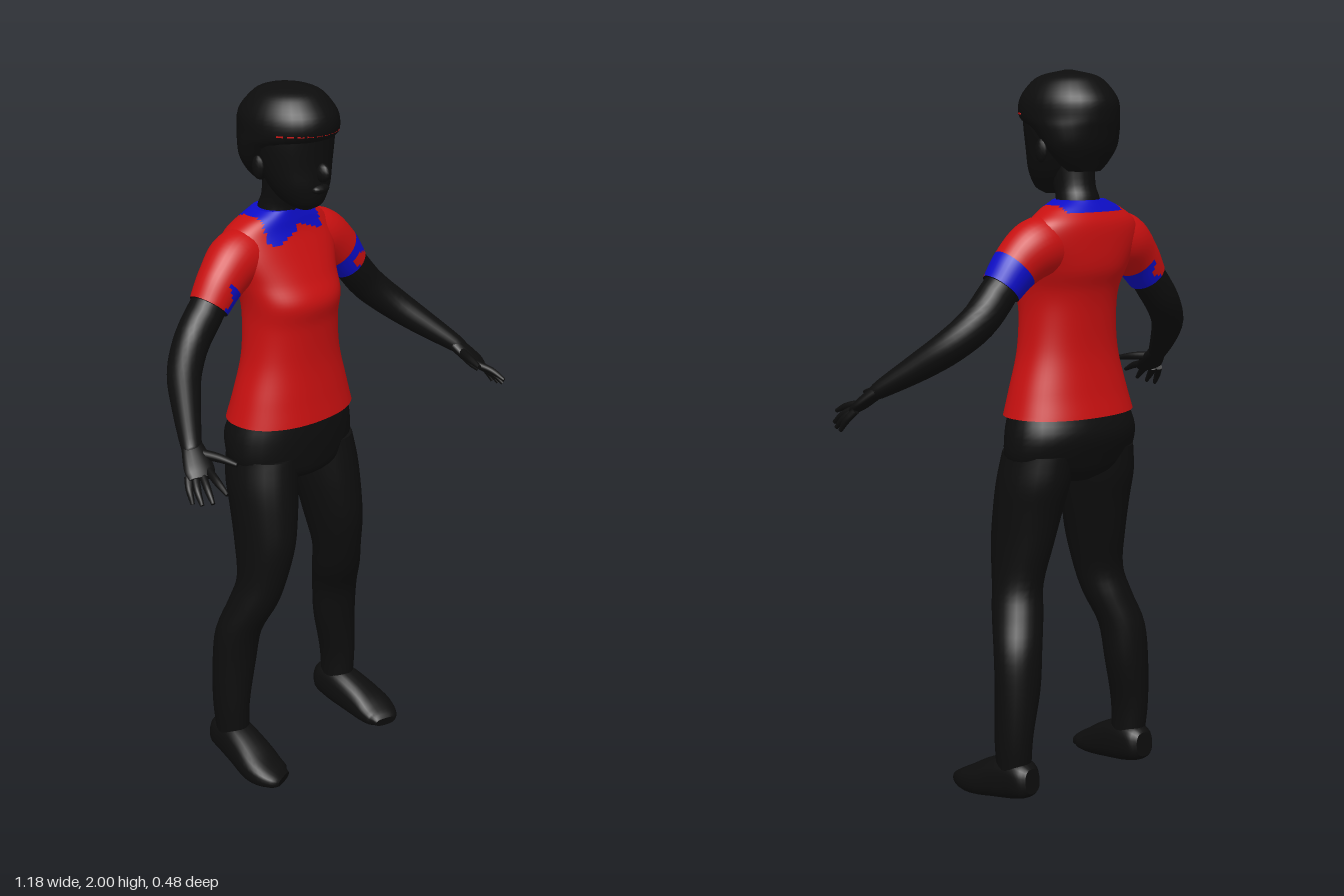
import * as THREE from 'three';

const mat = (name, color) => {
  const m = new THREE.MeshStandardMaterial({ color });
  m.name = name;
  return m;
};

// Closed smooth skin through sections [x, y, z, radiusU, radiusV].
// level: rings stay horizontal (listed upward); otherwise they follow the path.
// pick(centre, t) chooses the material index of each face.
function loft(sections, { level = false, seg = 24, steps = 4, power = 2, pick = () => 0 } = {}) {
  const path = new THREE.CatmullRomCurve3(sections.map(s => new THREE.Vector3(s[0], s[1], s[2])), false, 'catmullrom');
  const radii = new THREE.CatmullRomCurve3(sections.map(s => new THREE.Vector3(s[3], s[4], 0)), false, 'catmullrom');
  const rows = (sections.length - 1) * steps;
  const up = new THREE.Vector3(0, 1, 0);
  const points = [];
  const squash = v => Math.sign(v) * Math.abs(v) ** (2 / power);
  for (let i = 0; i <= rows; i++) {
    const c = path.getPoint(i / rows), r = radii.getPoint(i / rows);
    const u = new THREE.Vector3(1, 0, 0), v = new THREE.Vector3(0, 0, -1);
    if (!level) {
      const t = path.getTangent(i / rows);
      u.crossVectors(up, t).normalize();
      v.crossVectors(t, u);
    }
    for (let j = 0; j < seg; j++) {
      const a = j / seg * Math.PI * 2;
      points.push(c.clone().addScaledVector(u, r.x * squash(Math.cos(a))).addScaledVector(v, r.y * squash(Math.sin(a))));
    }
  }
  const faces = [[], [], []];
  for (let i = 0; i < rows; i++) for (let j = 0; j < seg; j++) {
    const k = (j + 1) % seg;
    const a = i * seg + j, b = i * seg + k, c = b + seg, d = a + seg;
    const mid = points[a].clone().add(points[c]).multiplyScalar(0.5);
    faces[pick(mid, (i + 0.5) / rows)].push(a, b, c, a, c, d);
  }
  // End caps with their own vertices, so the rim stays crisp
  for (const end of [0, rows]) {
    const base = points.length;
    for (let j = 0; j < seg; j++) points.push(points[end * seg + j].clone());
    points.push(path.getPoint(end / rows));
    const idx = pick(points[base + seg], end / rows);
    for (let j = 0; j < seg; j++) {
      const a = base + j, b = base + (j + 1) % seg;
      faces[idx].push(base + seg, ...(end ? [a, b] : [b, a]));
    }
  }
  const g = new THREE.BufferGeometry().setFromPoints(points);
  g.setIndex(faces.flat());
  let start = 0;
  faces.forEach((f, n) => { if (f.length) g.addGroup(start, f.length, n); start += f.length; });
  g.computeVertexNormals();
  return g;
}

export function createModel() {
  const model = new THREE.Group();
  const black = mat('black', 0x0d0d0d);
  const red = mat('shirtRed', 0xc81010);
  const blue = mat('trimBlue', 0x0d0dc8);
  const add = (name, geometry, material, parent = model) => {
    const mesh = new THREE.Mesh(geometry, material);
    mesh.name = name;
    parent.add(mesh);
    return mesh;
  };
  const cloth = [red, blue, black];

  // Shirt body, with the collar flaps coloured around the neck
  const collar = p => {
    if (Math.abs(p.x) > 0.1) return 0;
    const edge = p.z < -0.14 ? 1.628 : p.x < 0 ? 1.605 + 0.35 * p.x : 1.62 - 0.3 * p.x;
    return p.y > edge ? 1 : 0;
  };
  add('shirt', loft([
    [0, 1.08, -0.095, 0.2, 0.135], [0, 1.15, -0.092, 0.18, 0.122], [0, 1.25, -0.09, 0.152, 0.11],
    [0, 1.35, -0.09, 0.142, 0.112], [0, 1.42, -0.09, 0.146, 0.122], [0, 1.48, -0.115, 0.16, 0.117],
    [0, 1.55, -0.135, 0.185, 0.1], [0, 1.6, -0.145, 0.175, 0.085], [0, 1.635, -0.14, 0.13, 0.072],
    [0, 1.66, -0.135, 0.075, 0.062],
  ], { level: true, seg: 64, steps: 6, power: 2.2, pick: collar }), cloth);

  // Neck and head
  add('neck', loft([
    [0, 1.58, -0.135, 0.075, 0.06], [0, 1.66, -0.13, 0.06, 0.058], [0, 1.7, -0.115, 0.055, 0.06], [0, 1.78, -0.1, 0.06, 0.07],
  ], { level: true }), black);
  add('face', loft([
    [0, 1.672, -0.03, 0.02, 0.02], [0, 1.685, -0.032, 0.045, 0.045], [0, 1.705, -0.043, 0.064, 0.067], [0, 1.74, -0.055, 0.084, 0.085],
    [0, 1.79, -0.07, 0.1, 0.1], [0, 1.85, -0.082, 0.112, 0.117], [0, 1.9, -0.09, 0.115, 0.13],
  ], { level: true }), black);
  add('hair', loft([
    [0, 1.735, -0.155, 0.05, 0.035], [0, 1.76, -0.15, 0.08, 0.053], [0, 1.8, -0.143, 0.108, 0.08],
    [0, 1.845, -0.122, 0.121, 0.112], [0, 1.875, -0.096, 0.125, 0.144], [0, 1.92, -0.093, 0.122, 0.145],
    [0, 1.96, -0.092, 0.1, 0.115], [0, 1.985, -0.092, 0.068, 0.08], [0, 2, -0.092, 0.008, 0.008],
  ], { level: true, seg: 32 }), black);
  const nose = add('nose', new THREE.SphereGeometry(1, 12, 8), black);
  nose.scale.set(0.016, 0.026, 0.025);
  nose.position.set(0, 1.78, 0.034);
  const lips = add('lips', new THREE.SphereGeometry(1, 12, 8), black);
  lips.scale.set(0.03, 0.013, 0.016);
  lips.position.set(0, 1.735, 0.026);

  // Fine broken band across the hair
  const band = new THREE.Group();
  band.name = 'hairBand';
  model.add(band);
  for (let i = 0; i < 11; i++) {
    const a = (i - 5) * 0.2;
    const dash = add('hairBandDash', new THREE.BoxGeometry(0.018, 0.004, 0.004), red, band);
    dash.position.set(0.125 * Math.sin(a), 1.885, -0.0955 + 0.146 * Math.cos(a));
    dash.rotation.y = Math.atan2(0.146 * Math.sin(a), 0.125 * Math.cos(a));
  }

  // Trouser seat
  add('trouserSeat', loft([
    [0, 0.895, -0.09, 0.06, 0.07], [0, 0.92, -0.09, 0.14, 0.105], [0, 0.96, -0.095, 0.2, 0.119],
    [0, 1.03, -0.103, 0.205, 0.131], [0, 1.1, -0.095, 0.185, 0.118],
  ], { level: true, seg: 32, power: 2.2 }), black);

  for (const s of [1, -1]) {
    const side = s > 0 ? 'left' : 'right';
    const mirror = list => list.map(([x, ...rest]) => [x * s, ...rest]);

    add(side + 'Ear', new THREE.SphereGeometry(1, 10, 8).scale(0.012, 0.032, 0.02).translate(s * 0.105, 1.79, -0.1), black);

    // Trouser leg
    add(side + 'TrouserLeg', loft(mirror([
      [0.22, 0.1, -0.115, 0.045, 0.052], [0.222, 0.2, -0.118, 0.05, 0.058], [0.208, 0.33, -0.118, 0.064, 0.062],
      [0.197, 0.44, -0.107, 0.068, 0.066], [0.17, 0.53, -0.075, 0.07, 0.073], [0.152, 0.61, -0.055, 0.068, 0.076],
      [0.137, 0.72, -0.057, 0.077, 0.098], [0.127, 0.82, -0.07, 0.087, 0.107], [0.12, 0.9, -0.085, 0.092, 0.113],
      [0.11, 0.98, -0.095, 0.09, 0.11],
    ]), { level: true }), black);

    // Shoe
    add(side + 'Shoe', loft(mirror([
      [0.215, 0.085, -0.188, 0.028, 0.035], [0.217, 0.083, -0.165, 0.045, 0.05], [0.219, 0.08, -0.11, 0.052, 0.061],
      [0.225, 0.065, -0.05, 0.057, 0.056], [0.232, 0.042, 0.02, 0.062, 0.042], [0.225, 0.031, 0.07, 0.053, 0.026],
      [0.217, 0.026, 0.095, 0.033, 0.014],
    ]), { power: 2.5 }), black);

    // Sleeve with its uneven cuff
    const cuff = (p, t) => {
      if (t > 0.99) return 2;
      if (t < 0.72) return 0;
      const low = p.y < 1.44 || p.x * s < 0.235;
      return low || (s > 0 && (p.z < -0.1 || p.y > 1.475)) ? 1 : 0;
    };
    add(side + 'Sleeve', loft(mirror([
      [0.08, 1.545, -0.14, 0.07, 0.08], [0.155, 1.538, -0.138, 0.074, 0.08], [0.217, 1.495, -0.13, 0.064, 0.068],
      [0.267, 1.438, -0.125, 0.055, 0.056],
    ]), { seg: 32, steps: 8, pick: cuff }), cloth);

    // Arm
    add(side + 'Arm', loft(mirror([
      [0.24, 1.47, -0.126, 0.046, 0.047], [0.285, 1.418, -0.125, 0.05, 0.051], [0.34, 1.355, -0.117, 0.049, 0.05],
      [0.4, 1.295, -0.078, 0.046, 0.046], [0.455, 1.237, -0.01, 0.038, 0.038], [0.512, 1.178, 0.07, 0.028, 0.025],
      [0.522, 1.162, 0.09, 0.024, 0.018],
    ])), black);

    // Hand: palm, four fingers and thumb
    const hand = new THREE.Group();
    hand.name = side + 'Hand';
    model.add(hand);
    add('palm', loft(mirror([
      [0.508, 1.183, 0.063, 0.025, 0.02], [0.522, 1.158, 0.097, 0.035, 0.018], [0.536, 1.132, 0.128, 0.04, 0.016],
      [0.544, 1.116, 0.146, 0.034, 0.011],
    ]), { seg: 16 }), black, hand);
    const digits = {
      indexFinger: [[0.52, 1.13, 0.145], [0.535, 1.118, 0.195], [0.541, 1.1, 0.237]],
      middleFinger: [[0.537, 1.122, 0.14], [0.557, 1.1, 0.182], [0.567, 1.075, 0.212]],
      ringFinger: [[0.553, 1.118, 0.13], [0.572, 1.093, 0.16], [0.58, 1.066, 0.185]],
      littleFinger: [[0.565, 1.118, 0.118], [0.58, 1.092, 0.138], [0.587, 1.062, 0.157]],
      thumb: [[0.508, 1.16, 0.1], [0.487, 1.156, 0.15], [0.472, 1.148, 0.2]],
    };
    for (const [name, [a, b, c]] of Object.entries(digits)) {
      const r = name === 'thumb' ? 0.013 : 0.011;
      add(name, loft(mirror([[...a, r, r], [...b, r * 0.9, r * 0.9], [...c, r * 0.5, r * 0.5]]), { seg: 10 }), black, hand);
    }
  }
  return model;
}
